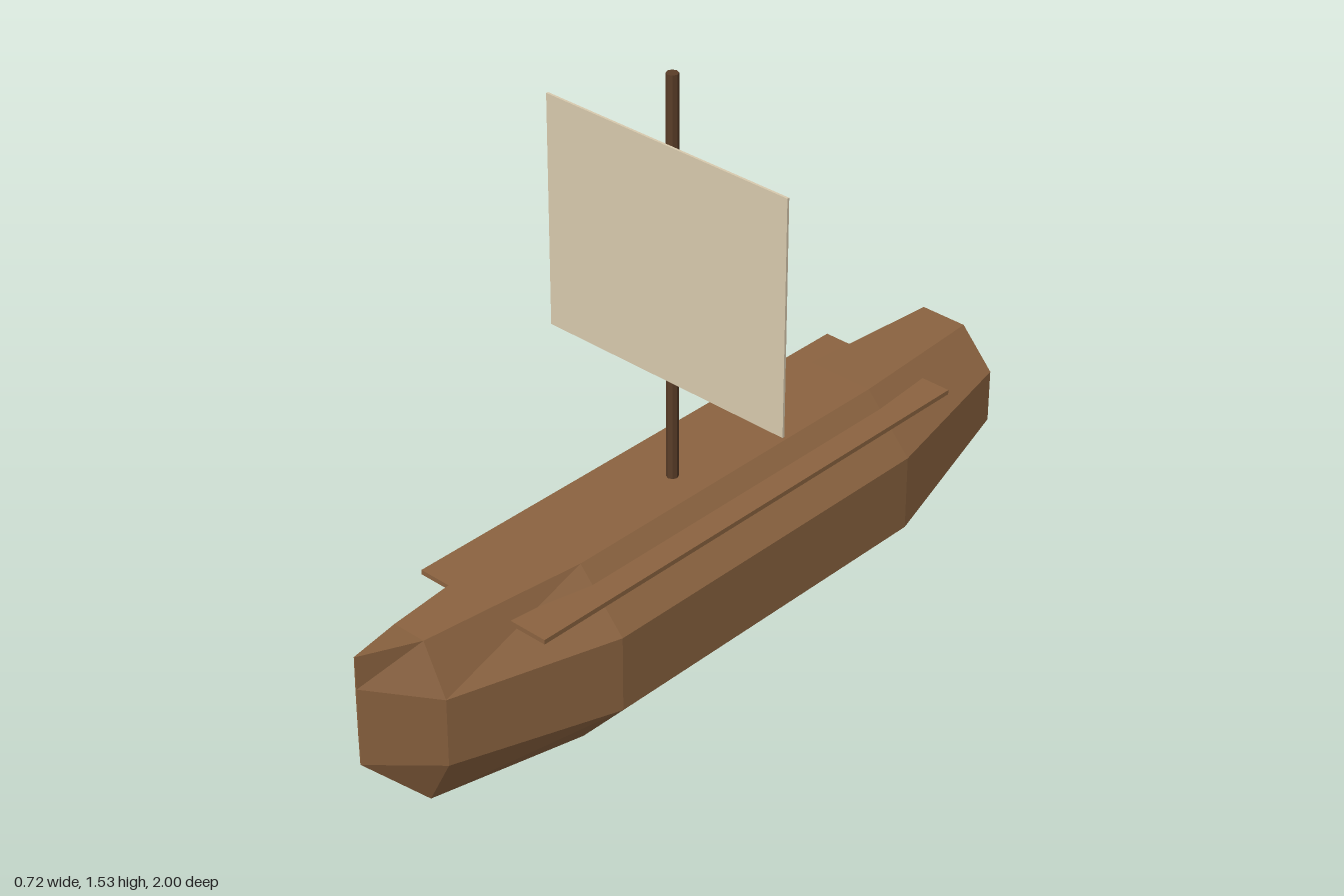
import * as THREE from 'three';

const wood = new THREE.MeshStandardMaterial({ name: 'hullWood', color: 0x8b6340, flatShading: true });
const darkWood = new THREE.MeshStandardMaterial({ name: 'mastWood', color: 0x5a3d28, flatShading: true });
const canvas = new THREE.MeshStandardMaterial({ name: 'sailCanvas', color: 0xd8caae, flatShading: true });

// Octagonal hull sections, stern to bow: [z, half width, centre y, half height]
const SECTIONS = [
  [-1, 0.155, 0.313, 0.17],
  [-0.6, 0.22, 0.246, 0.243],
  [0.4, 0.22, 0.246, 0.243],
  [0.84, 0.11, 0.272, 0.218],
  [1, 0.002, 0.364, 0.146],
];

function hullGeometry() {
  const pos = [], index = [], sides = 8;
  for (const [z, w, cy, h] of SECTIONS) {
    for (let i = 0; i < sides; i++) {
      const a = ((i + 0.5) / sides) * Math.PI * 2;
      const k = 1 / Math.cos(Math.PI / sides);
      pos.push(Math.cos(a) * w * k, cy + Math.sin(a) * h * k, z);
    }
  }
  // Skin between neighbouring sections
  for (let s = 0; s < SECTIONS.length - 1; s++) {
    for (let i = 0; i < sides; i++) {
      const a = s * sides + i, b = s * sides + ((i + 1) % sides);
      index.push(a, b, a + sides, b, b + sides, a + sides);
    }
  }
  // Flat stern and narrow stem
  const last = (SECTIONS.length - 1) * sides;
  for (let i = 1; i < sides - 1; i++) {
    index.push(0, i + 1, i);
    index.push(last, last + i, last + i + 1);
  }
  const geometry = new THREE.BufferGeometry();
  geometry.setAttribute('position', new THREE.Float32BufferAttribute(pos, 3));
  geometry.setIndex(index);
  // The outline runs counter-clockwise seen from +z, so flip the skin outward if needed
  const flat = geometry.toNonIndexed();
  flat.computeVertexNormals();
  return flat;
}

export function createModel() {
  const group = new THREE.Group();
  group.name = 'sailingBoat';

  const add = (name, geometry, material, x, y, z) => {
    const mesh = new THREE.Mesh(geometry, material);
    mesh.name = name;
    mesh.position.set(x, y, z);
    group.add(mesh);
  };

  add('hull', hullGeometry(), wood, 0, 0, 0);

  // Side planks
  for (const [name, side] of [['leftPlank', 1], ['rightPlank', -1]]) {
    add(name, new THREE.BoxGeometry(0.105, 0.012, 1.4), wood, side * 0.1425, 0.442, -0.08);
  }

  // Mast and square sail
  add('mast', new THREE.CylinderGeometry(0.015, 0.015, 1.135, 8), darkWood, 0, 0.9675, 0);
  add('sail', new THREE.BoxGeometry(0.72, 0.605, 0.006), canvas, 0, 1.0685, 0.026);

  return group;
}
